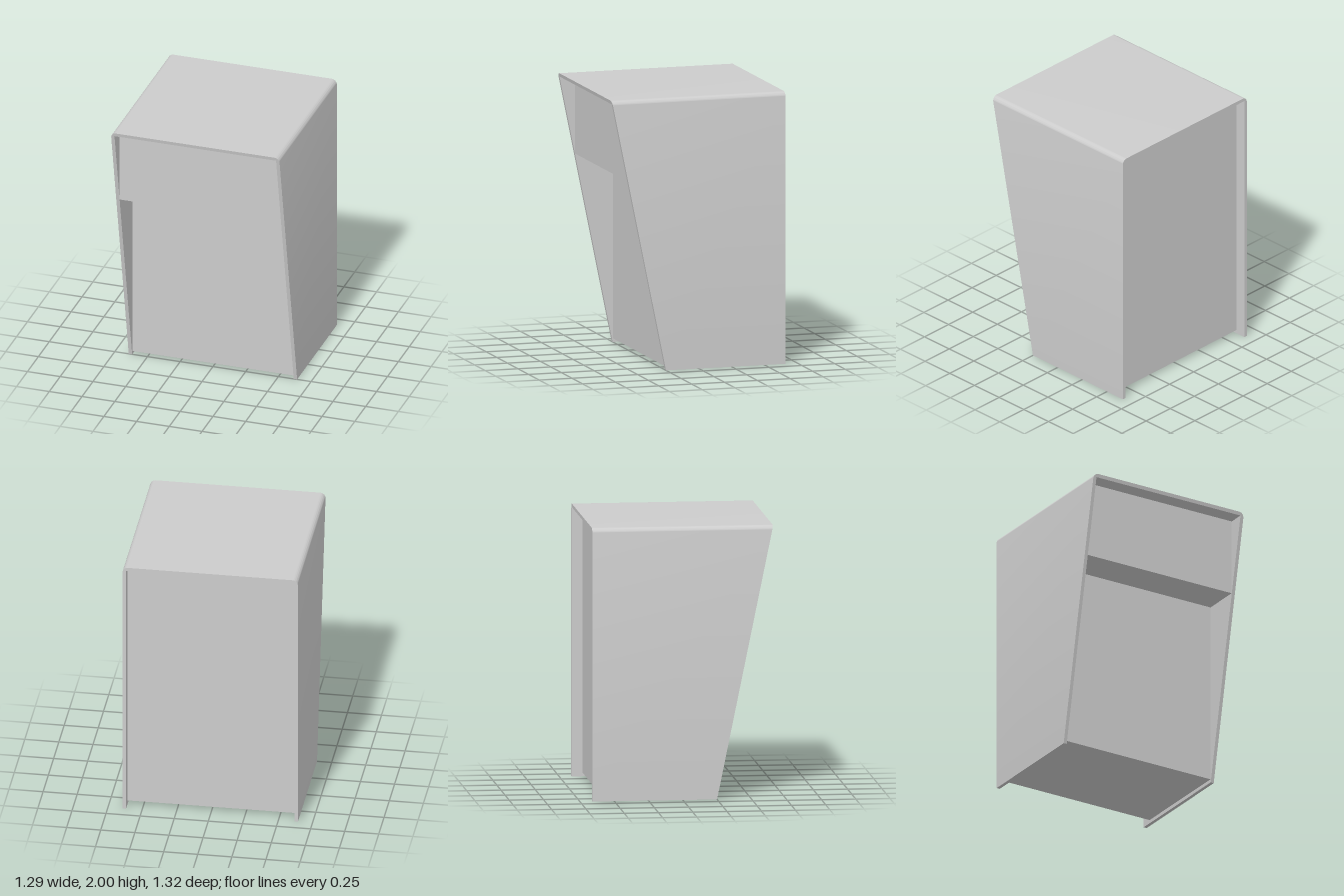
import * as THREE from 'three';
import { toCreasedNormals } from 'three/addons/utils/BufferGeometryUtils.js';

const W = 0.643, H = 2, T = 0.026, R = 0.04; // half width, height, board thickness, corner radius
const BACK = -0.66;
const frontZ = (y) => 0.25 + 0.41 * (y / H); // sloping front edge

export function createModel() {
  const group = new THREE.Group();
  const grey = new THREE.MeshStandardMaterial({ color: 0xcccccc });
  grey.name = 'lightGrey';

  // Shell: upside-down U of thin board with rounded top corners
  const u = new THREE.Shape();
  u.moveTo(W, 0);
  u.lineTo(W, H - R);
  u.absarc(W - R, H - R, R, 0, Math.PI / 2, false);
  u.lineTo(-W + R, H);
  u.absarc(-W + R, H - R, R, Math.PI / 2, Math.PI, false);
  u.lineTo(-W, 0);
  u.lineTo(-W + T, 0);
  u.lineTo(-W + T, H - T);
  u.lineTo(W - T, H - T);
  u.lineTo(W - T, 0);
  u.closePath();
  const shellGeo = new THREE.ExtrudeGeometry(u, { depth: 1, bevelEnabled: false, curveSegments: 10 });
  // Lean the front edge forward towards the top
  const p = shellGeo.attributes.position;
  for (let i = 0; i < p.count; i++) p.setZ(i, p.getZ(i) > 0.5 ? frontZ(p.getY(i)) : BACK);
  shellGeo.computeVertexNormals();
  const shell = new THREE.Mesh(toCreasedNormals(shellGeo, 0.6), grey);
  shell.name = 'outerShell';
  group.add(shell);

  // Cabinet body: stepped side profile (z, y), set in from the back, with the upper front jutting out
  const profile = new THREE.Shape([
    [-0.58, T], [0.247, T], [0.247, 1.4], [0.535, 1.4], [0.535, H - T], [-0.58, H - T],
  ].map(([z, y]) => new THREE.Vector2(z, y)));
  const width = 2 * (W - T);
  const bodyGeo = new THREE.ExtrudeGeometry(profile, { depth: width, bevelEnabled: false });
  bodyGeo.rotateY(-Math.PI / 2);
  bodyGeo.translate(width / 2, 0, 0);
  const body = new THREE.Mesh(bodyGeo, grey);
  body.name = 'cabinetBody';
  group.add(body);

  return group;
}
